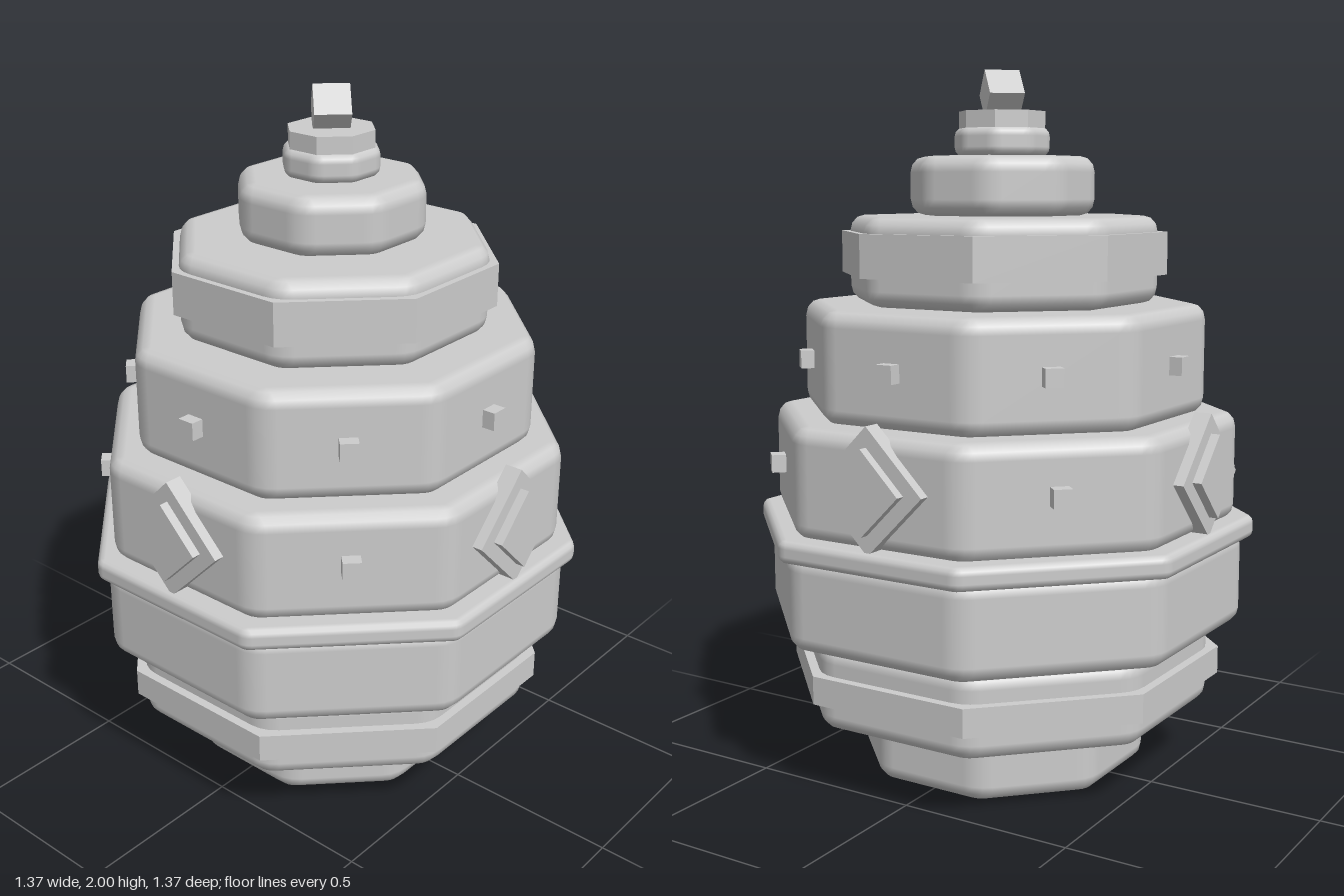
import * as THREE from 'three';

const T = Math.tan(Math.PI / 8);
const SEG = 3; // bevel steps

// Octagonal drum with every edge softened; r is the distance to a flat side
function drumGeometry(r, y0, y1, b) {
  const pos = [], nor = [], idx = [];
  const W = 8 * (SEG + 1);
  const ring = (phi, y) => {
    const c = Math.cos(phi), s = Math.sin(phi);
    for (let k = 0; k < 8; k++) {
      const mid = (k + 0.5) * Math.PI / 4;
      // point given by distance from a flat's plane and along that flat
      const at = (a, n, t) => new THREE.Vector2(
        Math.sin(a) * n + Math.cos(a) * t, Math.cos(a) * n - Math.sin(a) * t);
      const a0 = mid - Math.PI / 8, a1 = mid + Math.PI / 8;
      const inner = at(a0, r - b, (r - b) * T);
      const curve = new THREE.QuadraticBezierCurve(
        at(a0, r, r * T - b), at(a0, r, r * T), at(a1, r, b - r * T));
      for (let i = 0; i <= SEG; i++) {
        const p = curve.getPoint(i / SEG).sub(inner).multiplyScalar(c).add(inner);
        const a = a0 + (a1 - a0) * i / SEG;
        pos.push(p.x, y + s * b, p.y);
        nor.push(Math.sin(a) * c, s, Math.cos(a) * c);
      }
    }
  };
  for (let j = 0; j <= SEG; j++) ring(-Math.PI / 2 * (1 - j / SEG), y0 + b);
  for (let j = 0; j <= SEG; j++) ring(Math.PI / 2 * j / SEG, y1 - b);
  const rows = 2 * SEG + 2, low = rows * W, high = low + 1, top = (rows - 1) * W;
  pos.push(0, y0, 0, 0, y1, 0);
  nor.push(0, -1, 0, 0, 1, 0);
  for (let i = 0; i < W; i++) {
    const n = (i + 1) % W;
    for (let j = 0; j < rows - 1; j++) {
      const a = j * W + i, d = j * W + n;
      idx.push(a, d, d + W, a, d + W, a + W);
    }
    idx.push(high, top + i, top + n, low, n, i);
  }
  const g = new THREE.BufferGeometry();
  g.setAttribute('position', new THREE.Float32BufferAttribute(pos, 3));
  g.setAttribute('normal', new THREE.Float32BufferAttribute(nor, 3));
  g.setIndex(idx);
  return g;
}

// Sharp octagonal band
function bandGeometry(r, y0, y1) {
  const R = r / Math.cos(Math.PI / 8);
  const g = new THREE.CylinderGeometry(R, R, y1 - y0, 8).toNonIndexed();
  g.computeVertexNormals();
  return g.rotateY(Math.PI / 8).translate(0, (y0 + y1) / 2, 0);
}

export function createModel() {
  const model = new THREE.Group();
  model.name = 'tieredEgg';
  const stone = new THREE.MeshStandardMaterial({ color: 0xcccccc });
  stone.name = 'pale grey';
  const add = (name, geometry, parent = model) => {
    const m = new THREE.Mesh(geometry, stone);
    m.name = name;
    parent.add(m);
    return m;
  };

  // Stacked tiers: name, radius, bottom, top, bevel
  [
    ['baseTier', 0.395, 0, 0.19, 0.045],
    ['lowerTier', 0.565, 0.19, 0.43, 0.045],
    ['bellyTier', 0.65, 0.43, 0.70, 0.045],
    ['belt', 0.678, 0.68, 0.745, 0.022],
    ['diamondTier', 0.63, 0.735, 1.045, 0.045],
    ['studTier', 0.545, 1.04, 1.35, 0.045],
    ['shoulderTier', 0.418, 1.35, 1.595, 0.045],
    ['neckTier', 0.252, 1.595, 1.76, 0.045],
    ['collar', 0.13, 1.76, 1.84, 0.025],
  ].forEach(([name, ...size]) => add(name, drumGeometry(...size)));

  // Plain bands
  add('lowerBand', bandGeometry(0.59, 0.27, 0.35));
  add('shoulderBand', bandGeometry(0.436, 1.43, 1.55));
  add('finialSeat', bandGeometry(0.114, 1.83, 1.885));

  // Cube finial standing on its edge
  const finial = add('finial', new THREE.BoxGeometry(0.096, 0.096, 0.1).rotateZ(Math.PI / 4));
  finial.rotation.y = Math.PI * 0.75;
  finial.position.y = 1.932;

  // Studs and double diamonds around the sides
  const stud = new THREE.BoxGeometry(0.05, 0.05, 0.05);
  const diamond = (half, z0, z1) => new THREE.BoxGeometry(half * Math.SQRT2, half * Math.SQRT2, z1 - z0)
    .rotateZ(Math.PI / 4).translate(0, 0.905, (z0 + z1) / 2);
  const outer = diamond(0.17, 0.61, 0.66), inner = diamond(0.115, 0.62, 0.686);
  for (let i = 0; i < 8; i++) {
    const side = new THREE.Group();
    side.name = 'sideOrnaments' + (i + 1);
    side.rotation.y = i * Math.PI / 4;
    model.add(side);
    add('upperStud', stud, side).position.set(0, 1.198, 0.557);
    if (i % 2) {
      add('lowerStud', stud, side).position.set(0, 0.905, 0.645);
    } else {
      add('diamondFrame', outer, side);
      add('diamondBoss', inner, side);
    }
  }
  return model;
}
